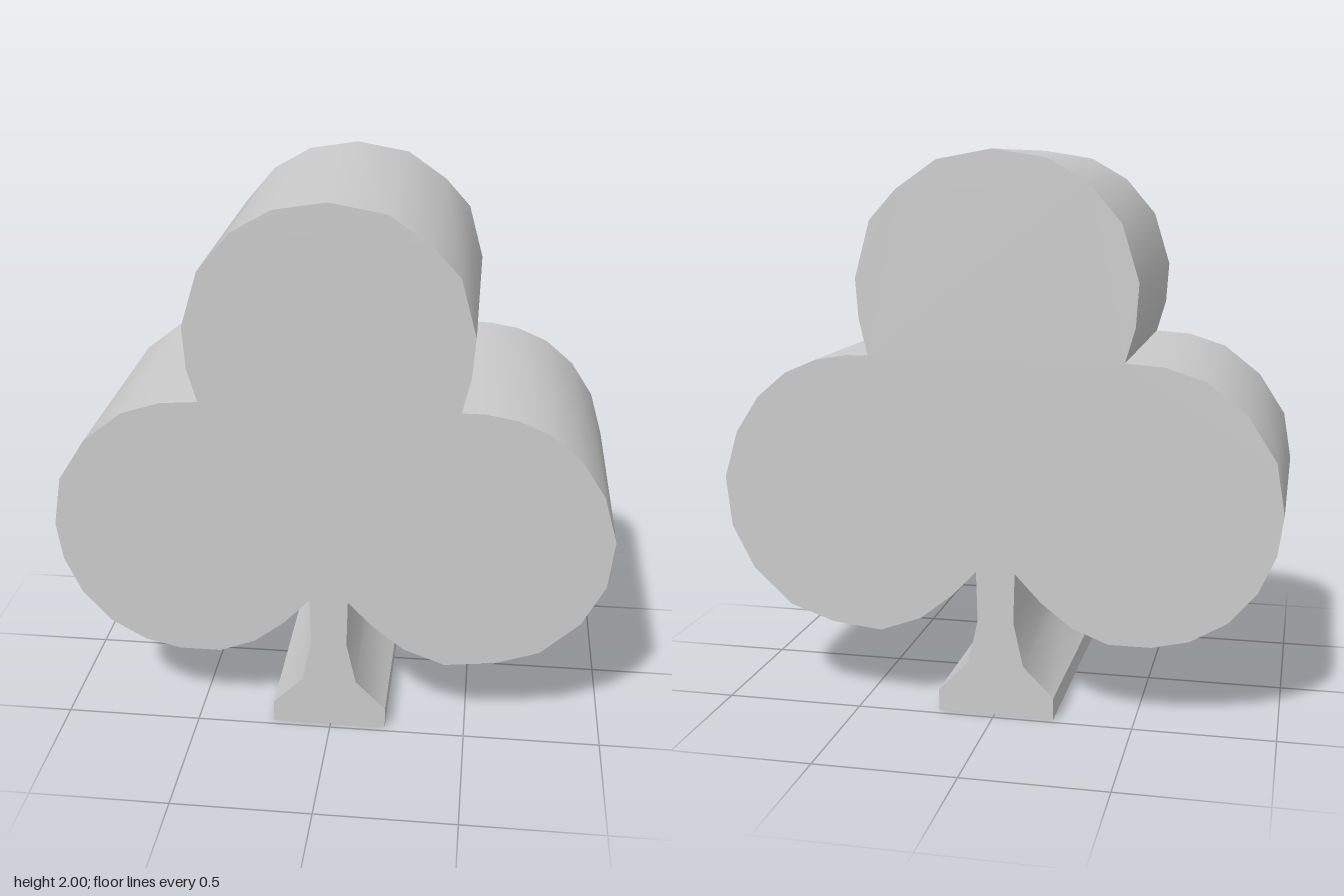
import * as THREE from 'three';
import { toCreasedNormals } from 'three/addons/utils/BufferGeometryUtils.js';

const DEPTH = 0.95;

// Outline sections, running counter-clockwise from the right foot corner
const stemRight = [[0.205, 0], [0.205, 0.08], [0.095, 0.19], [0.06, 0.35], [0.065, 0.53]];
const lobeRight = [
  [0.15, 0.44], [0.27, 0.345], [0.42, 0.29], [0.6, 0.31], [0.76, 0.365], [0.9, 0.495], [0.98, 0.65],
  [1, 0.83], [0.95, 1], [0.865, 1.13], [0.76, 1.22], [0.645, 1.27], [0.53, 1.29], [0.45, 1.29],
];
const lobeTop = [
  [0.48, 1.42], [0.49, 1.56], [0.435, 1.76], [0.34, 1.865], [0.195, 1.965], [0, 2],
  [-0.185, 1.97], [-0.325, 1.89], [-0.44, 1.755], [-0.5, 1.56], [-0.49, 1.41], [-0.455, 1.29],
];
const lobeLeft = [
  [-0.59, 1.28], [-0.73, 1.235], [-0.87, 1.125], [-0.97, 0.97], [-1, 0.79], [-0.98, 0.65], [-0.92, 0.515],
  [-0.82, 0.4], [-0.69, 0.325], [-0.56, 0.295], [-0.41, 0.295], [-0.28, 0.345], [-0.17, 0.43],
];
const stemLeft = [[-0.075, 0.53], [-0.07, 0.35], [-0.105, 0.19], [-0.215, 0.08], [-0.215, 0]];

export function createModel() {
  const group = new THREE.Group();
  group.name = 'club';

  // Solid three-lobed club with a flared stem, smooth around the lobes and sharp at the corners
  const outline = [...stemRight, ...lobeRight, ...lobeTop, ...lobeLeft, ...stemLeft];
  const shape = new THREE.Shape(outline.map(([x, y]) => new THREE.Vector2(x, y)));
  const solid = new THREE.ExtrudeGeometry(shape, { depth: DEPTH, bevelEnabled: false });
  solid.translate(0, 0, -DEPTH / 2);

  const body = new THREE.Mesh(
    toCreasedNormals(solid, THREE.MathUtils.degToRad(40)),
    new THREE.MeshStandardMaterial({ color: 0xcccccc }),
  );
  body.name = 'clubBody';
  group.add(body);
  return group;
}
